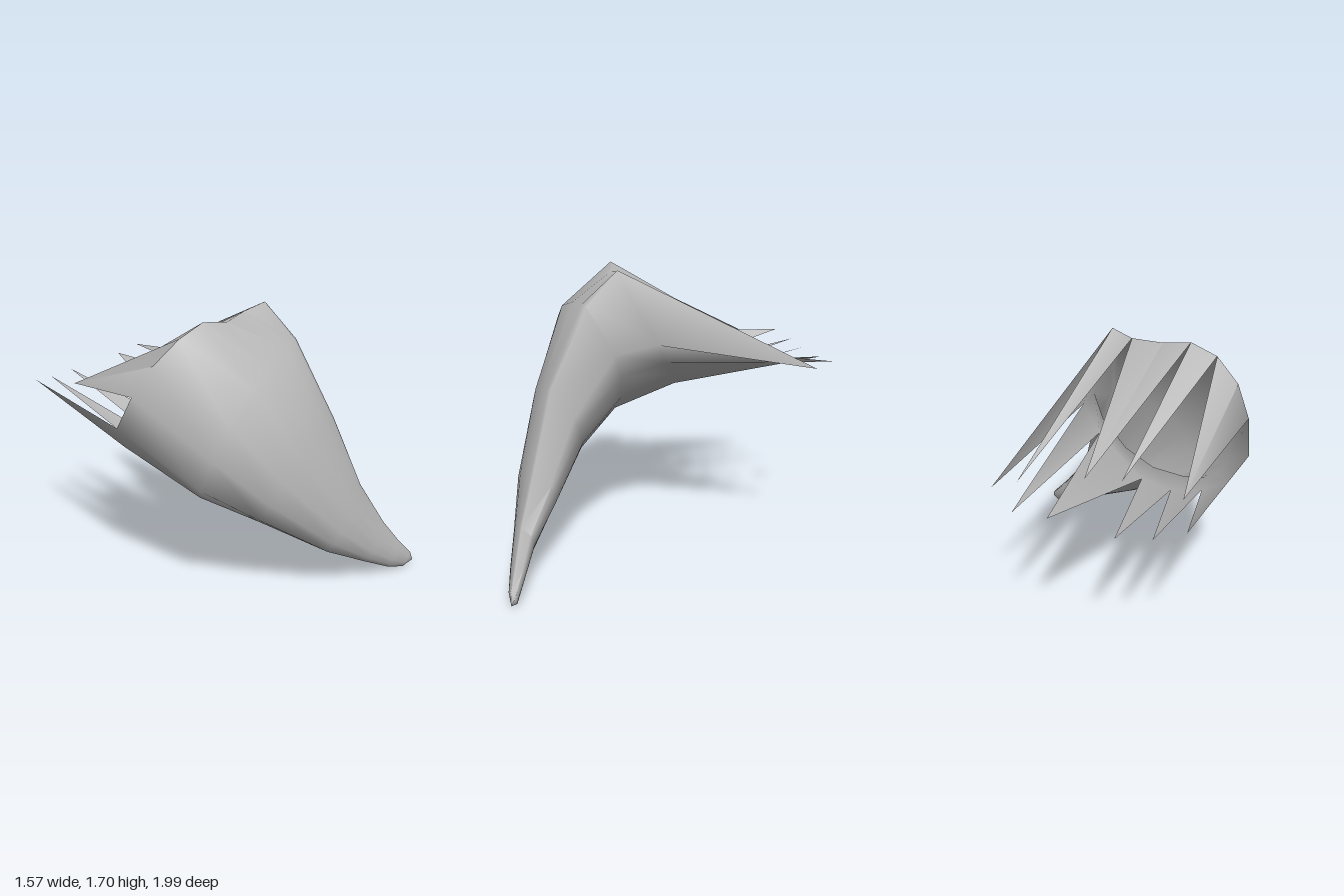
import * as THREE from 'three';
import { toCreasedNormals } from 'three/addons/utils/BufferGeometryUtils.js';

// Rim of the open mouth, counter-clockwise seen from the front
const RIM = [
  [0.23, 1.29, 0.07], [0.11, 1.705, 0.28], [-0.02, 1.67, 0.24], [-0.2, 1.65, 0.27],
  [-0.37, 1.68, 0.25], [-0.53, 1.62, 0.23], [-0.67, 1.49, 0.17], [-0.755, 1.32, 0.09],
  [-0.785, 1.13, 0], [-0.68, 0.97, -0.06], [-0.54, 0.92, -0.1], [-0.36, 0.9, -0.12],
  [-0.18, 0.94, -0.11], [-0.03, 1.04, -0.05], [0.11, 1.15, 0],
];

// Lopsided rings down the horn: centre, sideways half axis, upward half axis
const RINGS = [
  [[-0.18, 1.13, 0.42], [0.42, 0.12, -0.1], [0.05, 0.35, 0.14]],
  [[0, 0.815, 0.63], [0.32, 0.1, -0.06], [0.03, 0.21, 0.12]],
  [[0.25, 0.47, 0.79], [0.18, 0.09, -0.07], [0.01, 0.125, 0.08]],
  [[0.46, 0.26, 0.885], [0.1, 0.07, -0.035], [-0.003, 0.068, 0.045]],
  [[0.61, 0.13, 0.935], [0.065, 0.045, -0.025], [-0.005, 0.05, 0.03]],
  [[0.725, 0.05, 0.968], [0.046, 0.02, -0.01], [-0.01, 0.033, 0.02]],
];
const TIP = [0.78, 0.03, 0.98];

// Splinters: first rim point, last rim point, position of the point
const SPLINTERS = [
  [0, 1, [0.47, 1.17, -0.8]],
  [1, 2, [0.36, 1.17, -0.71]],
  [2, 4, [0.01, 1.19, -0.61]],
  [4, 5, [-0.19, 1.19, -0.58]],
  [5, 7, [-0.54, 1.17, -0.64]],
  [8, 10, [-0.62, 1.15, -0.91]],
  [10, 11, [-0.46, 1.12, -0.97]],
  [11, 12, [-0.27, 1.11, -1]],
  [12, 14, [0.1, 1.14, -0.96]],
  [14, 15, [0.285, 1.155, -0.98]],
];

// Fuller at upper right and lower left, flatter at the other two corners
function ringPoint([c, u, v], angle) {
  const cos = Math.cos(angle);
  const sin = Math.sin(angle);
  const power = cos * sin > 0 ? 0.68 : 1.15;
  const s = Math.sign(cos) * Math.abs(cos) ** power;
  const t = Math.sign(sin) * Math.abs(sin) ** power;
  return c.map((m, i) => m + u[i] * s + v[i] * t);
}

function hornGeometry() {
  const n = RIM.length;
  const points = RIM.map((p) => [...p]);
  const index = [];

  // Each column keeps the angle of its rim point
  const angles = RIM.map(([x, y]) => Math.atan2((y - 1.3) / 0.4, (x + 0.28) / 0.51));
  for (const ring of RINGS) {
    for (const a of angles) points.push(ringPoint(ring, a));
  }

  // Curved wall
  for (let r = 0; r < RINGS.length; r++) {
    for (let k = 0; k < n; k++) {
      const a = r * n + k;
      const b = r * n + ((k + 1) % n);
      index.push(a, b, b + n, a, b + n, a + n);
    }
  }

  // Rounded point
  const tip = points.push(TIP) - 1;
  const last = RINGS.length * n;
  for (let k = 0; k < n; k++) index.push(last + k, last + ((k + 1) % n), tip);

  // Jagged splinters behind the rim
  for (const [from, to, p] of SPLINTERS) {
    const s = points.push(p) - 1;
    for (let k = from; k < to; k++) index.push((k + 1) % n, k, s);
  }

  const g = new THREE.BufferGeometry();
  g.setAttribute('position', new THREE.Float32BufferAttribute(points.flat(), 3));
  g.setIndex(index);
  return toCreasedNormals(g, 1.05);
}

export function createModel() {
  const model = new THREE.Group();
  model.name = 'brokenHorn';

  const grey = new THREE.MeshStandardMaterial({ color: 0xb8b8b8, side: THREE.DoubleSide });
  grey.name = 'grey';

  const shell = new THREE.Mesh(hornGeometry(), grey);
  shell.name = 'hornShell';
  model.add(shell);
  return model;
}
